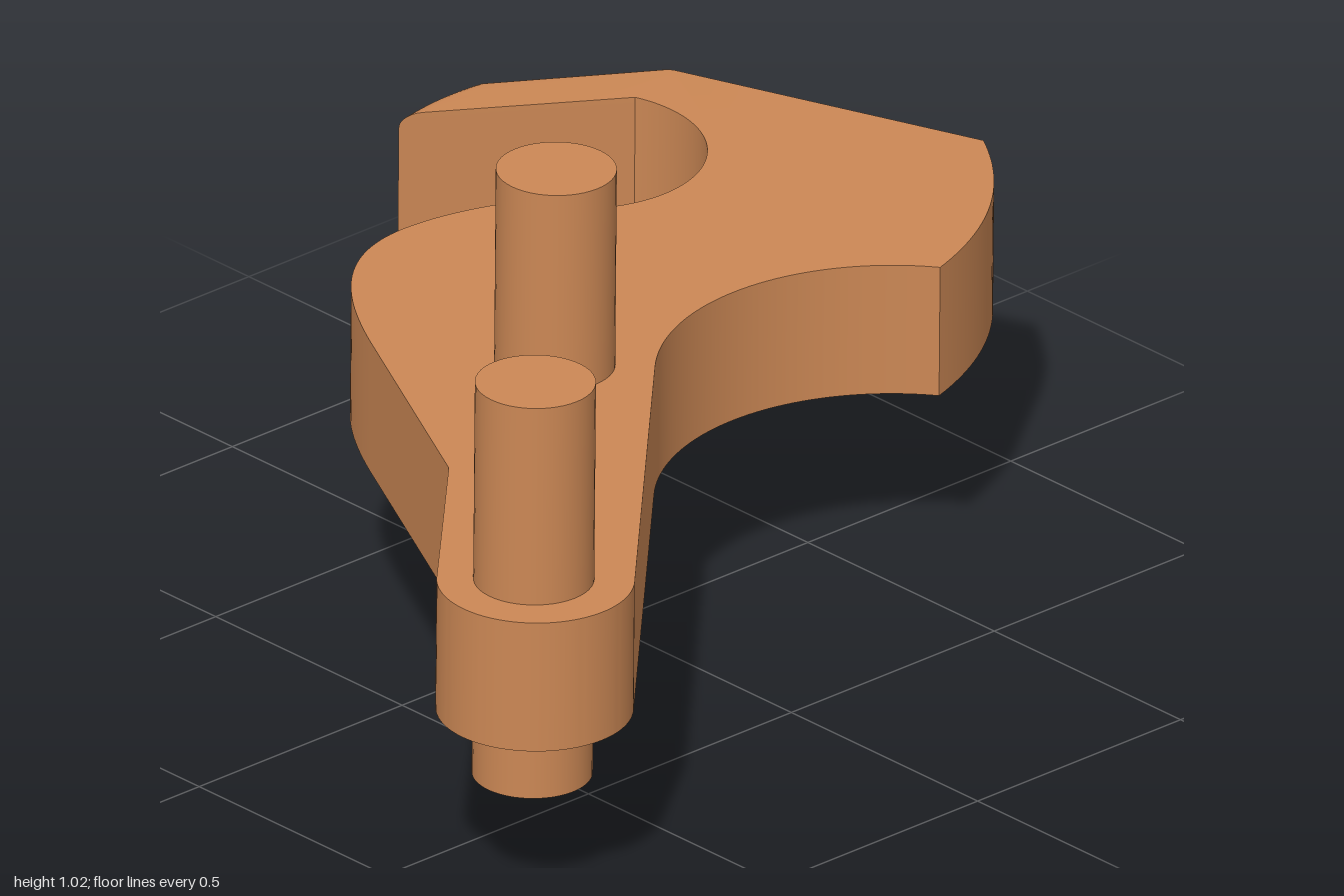
import * as THREE from 'three';
import { toCreasedNormals } from 'three/addons/utils/BufferGeometryUtils.js';

const material = new THREE.MeshStandardMaterial({ color: 0xcc8855 });
const BOTTOM = 0.36, TOP = 0.62, FILLET = 0.027, ROUND_STEPS = 6;

// Outline of the lever seen from above (shape y = -z)
function leverOutline() {
  const s = new THREE.Shape();
  s.moveTo(-0.947, -0.573);
  s.lineTo(-0.63, -0.26);
  s.lineTo(-0.4, 0.19);
  s.bezierCurveTo(-0.29, 0.41, -0.18, 0.515, -0.03, 0.515);
  s.quadraticCurveTo(0.08, 0.513, 0.197, 0.46);
  // round notch
  s.absarc(0.42, 0.547, 0.242, Math.PI * 1.118, Math.PI * 2.112, false);
  // hook
  s.lineTo(0.28, 0.865);
  s.quadraticCurveTo(0.39, 0.888, 0.485, 0.875);
  s.lineTo(0.76, 0.705);
  s.lineTo(1.0, 0.08);
  // convex nose and concave underside
  s.quadraticCurveTo(0.86, -0.165, 0.59, -0.25);
  s.absarc(0.24, -0.5125, 0.4375, Math.atan2(0.2625, 0.35), Math.PI * 0.75, false);
  // rounded arm end
  s.absarc(-0.82, -0.7, 0.18, -Math.PI / 4, Math.PI * 0.75, true);
  return s;
}

// Direction in which the hook's outer edge is inset, as a function of x
const INSET = [[0.28, 1.36, -0.86], [0.4, 0, -1], [0.485, -0.2, -0.97], [0.76, 0.59, -1.54]];
function insetAt(x) {
  let i = 0;
  while (i < INSET.length - 2 && x > INSET[i + 1][0]) i++;
  const [a, b] = [INSET[i], INSET[i + 1]];
  const t = THREE.MathUtils.clamp((x - a[0]) / (b[0] - a[0]), 0, 1);
  return [THREE.MathUtils.lerp(a[1], b[1], t), THREE.MathUtils.lerp(a[2], b[2], t)];
}

// Plate extruded in layers; the layers near top and bottom round the hook's outer edges
function leverGeometry() {
  const steps = ROUND_STEPS * 2 + 1, height = TOP - BOTTOM;
  const g = new THREE.ExtrudeGeometry(leverOutline(), {
    depth: steps, steps, bevelEnabled: false, curveSegments: 28,
  });
  const p = g.attributes.position;
  for (let i = 0; i < p.count; i++) {
    const k = Math.round(p.getZ(i));
    const fromEnd = Math.min(k, steps - k);
    const a = (fromEnd / ROUND_STEPS) * Math.PI / 2;
    const rise = FILLET * (1 - Math.cos(a)), inset = FILLET * (1 - Math.sin(a));
    p.setZ(i, k < steps / 2 ? rise : height - rise);
    const x = p.getX(i), y = p.getY(i);
    if (y > 0.7) {
      const [dx, dy] = insetAt(x);
      p.setXY(i, x + dx * inset, y + dy * inset);
    }
  }
  g.rotateX(-Math.PI / 2).translate(0, BOTTOM, 0);
  return toCreasedNormals(g, 0.3);
}

function addMesh(parent, geometry, name) {
  const mesh = new THREE.Mesh(geometry, material);
  mesh.name = name;
  parent.add(mesh);
  return mesh;
}

// Upright cylinder between two heights
function addPin(parent, name, x, z, radius, y0, y1) {
  addMesh(parent, new THREE.CylinderGeometry(radius, radius, y1 - y0, 48), name)
    .position.set(x, (y0 + y1) / 2, z);
}

export function createModel() {
  const model = new THREE.Group();
  model.name = 'hookLever';

  // The whole part leans very slightly
  const body = new THREE.Group();
  body.name = 'tiltedBody';
  body.rotation.x = 0.011;
  model.add(body);

  addMesh(body, leverGeometry(), 'leverPlate');
  addPin(body, 'endPin', -0.82, 0.695, 0.11, 0.228, 1.018);
  addPin(body, 'pivotPin', -0.2, 0.076, 0.11, 0.272, 1.016);
  addPin(body, 'pivotNeck', -0.2, 0.076, 0.07, 0.13, 0.28);
  addPin(body, 'pivotHead', -0.2, 0.076, 0.11, 0.002, 0.134);

  return model;
}
